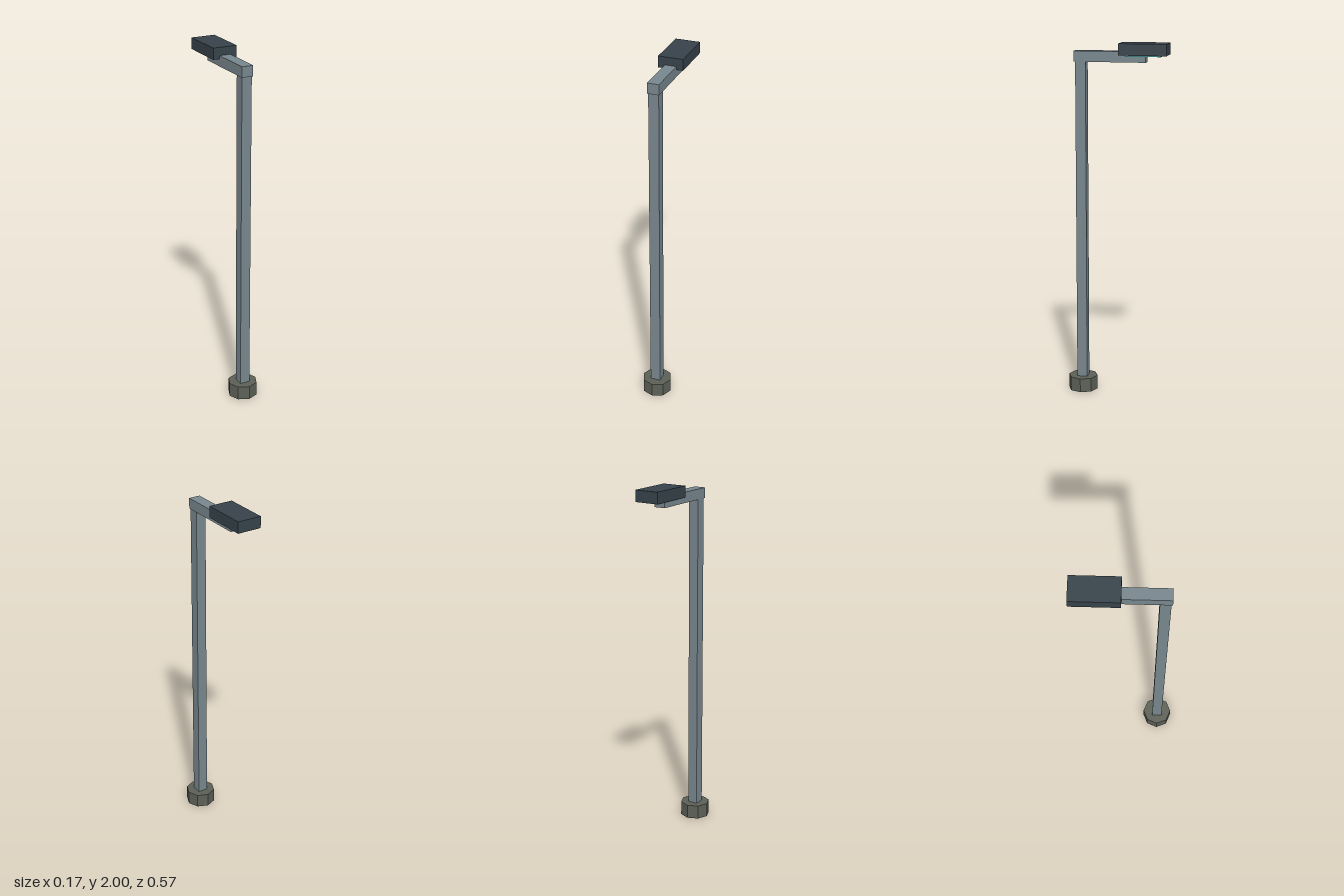
import * as THREE from 'three';

const paint = (name, color) => {
  const m = new THREE.MeshStandardMaterial({ color });
  m.name = name;
  return m;
};

export function createModel() {
  const group = new THREE.Group();
  group.name = 'streetLamp';

  const steel = paint('greySteel', 0x77868d);
  const concrete = paint('oliveConcrete', 0x5c6056);
  const housing = paint('darkHousing', 0x36424a);
  const glow = paint('tealLens', 0x55bdb9);

  // Box given by its lower and upper corners
  const box = (name, material, [x0, y0, z0], [x1, y1, z1]) => {
    const mesh = new THREE.Mesh(new THREE.BoxGeometry(x1 - x0, y1 - y0, z1 - z0), material);
    mesh.position.set((x0 + x1) / 2, (y0 + y1) / 2, (z0 + z1) / 2);
    mesh.name = name;
    group.add(mesh);
  };

  // Octagonal foot with corners on the axes
  const footGeometry = new THREE.CylinderGeometry(0.084, 0.084, 0.08, 8).toNonIndexed();
  footGeometry.computeVertexNormals();
  const foot = new THREE.Mesh(footGeometry, concrete);
  foot.position.set(0, 0.04, 0.199);
  foot.name = 'foot';
  group.add(foot);

  // Square pole and the arm reaching backwards
  box('pole', steel, [-0.029, 0.07, 0.17], [0.029, 1.9, 0.228]);
  box('arm', steel, [-0.033, 1.896, -0.165], [0.033, 1.955, 0.235]);

  // Lamp head with a thin lens on its underside
  box('lampHead', housing, [-0.07, 1.936, -0.285], [0.07, 2, -0.02]);
  box('lens', glow, [-0.051, 1.929, -0.252], [0.051, 1.938, -0.053]);

  return group;
}
